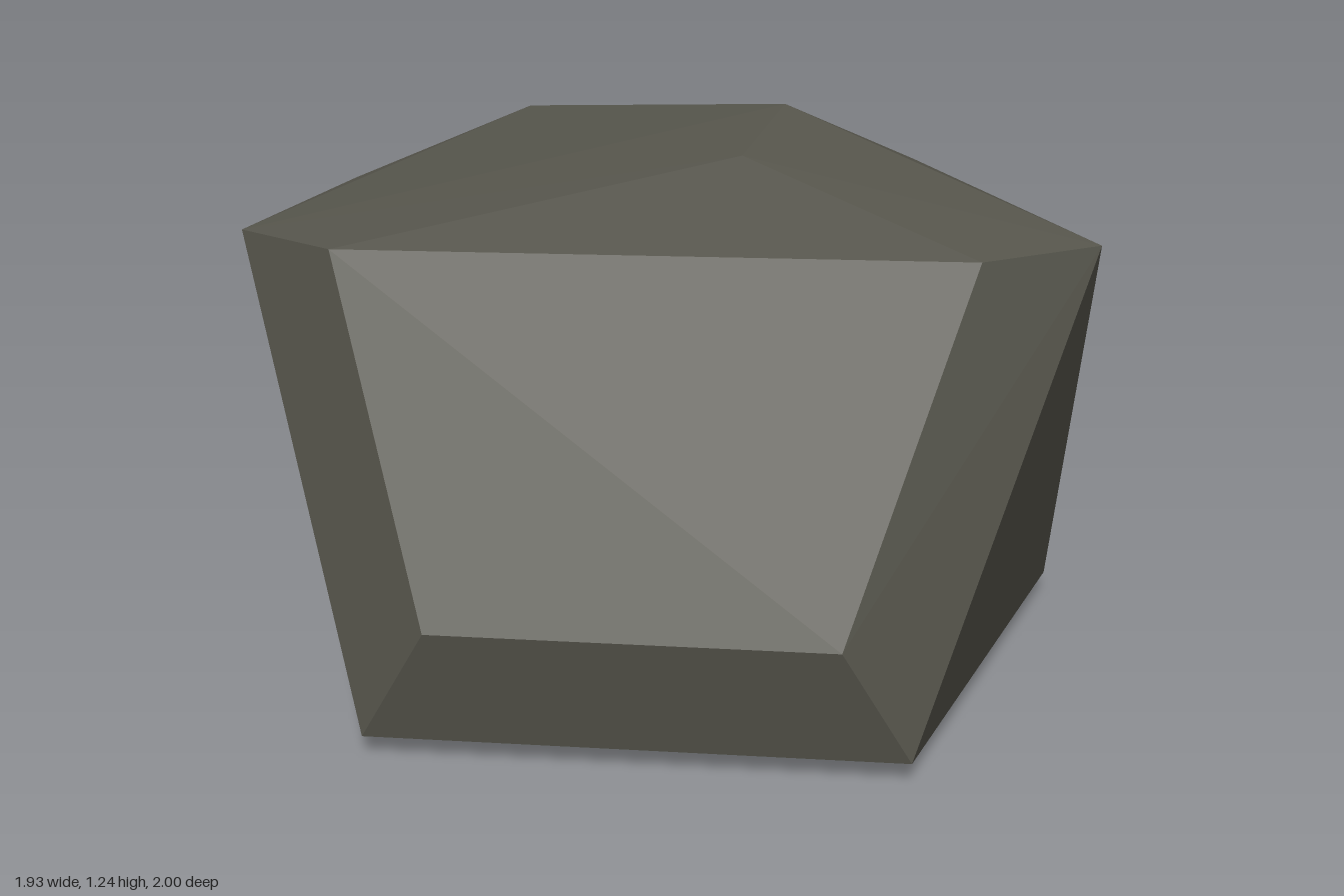
import * as THREE from 'three';
import { ConvexGeometry } from 'three/addons/geometries/ConvexGeometry.js';

export function createModel() {
  const group = new THREE.Group();
  group.name = 'boulder';

  const stone = new THREE.MeshStandardMaterial({ color: 0x55544b });
  stone.name = 'darkStone';

  const corners = [
    // top peak and base point
    [0.3, 1.235, 0.15], [0, 0, 0],
    // lower ring
    [-0.3, 0.045, 0.98], [0.78, 0.045, 0.63], [0.78, 0.045, -0.51], [-0.3, 0.045, -0.86], [-0.965, 0.045, 0.06],
    // intact corners of the upper ring
    [0.3, 1.02, 1.0], [0.965, 1.01, 0.06], [-0.78, 1.01, -0.51],
    // large chipped facet on the front
    [-0.78, 1.01, -0.21], [-0.025, 1.17, 0.29], [0.015, 1.015, 0.89], [-0.425, 0.3, 0.89], [-0.917, 0.3, 0.205],
    // smaller chipped facet on the back
    [0.22, 1.165, -0.62], [0.58, 1.04, -0.49], [0.43, 0.76, -0.76], [0.035, 0.68, -1.0], [-0.17, 1.0, -0.86],
  ].map((c) => new THREE.Vector3(...c));

  // flat faceted rock spanning the corners
  const rock = new THREE.Mesh(new ConvexGeometry(corners), stone);
  rock.name = 'rock';
  group.add(rock);
  return group;
}
